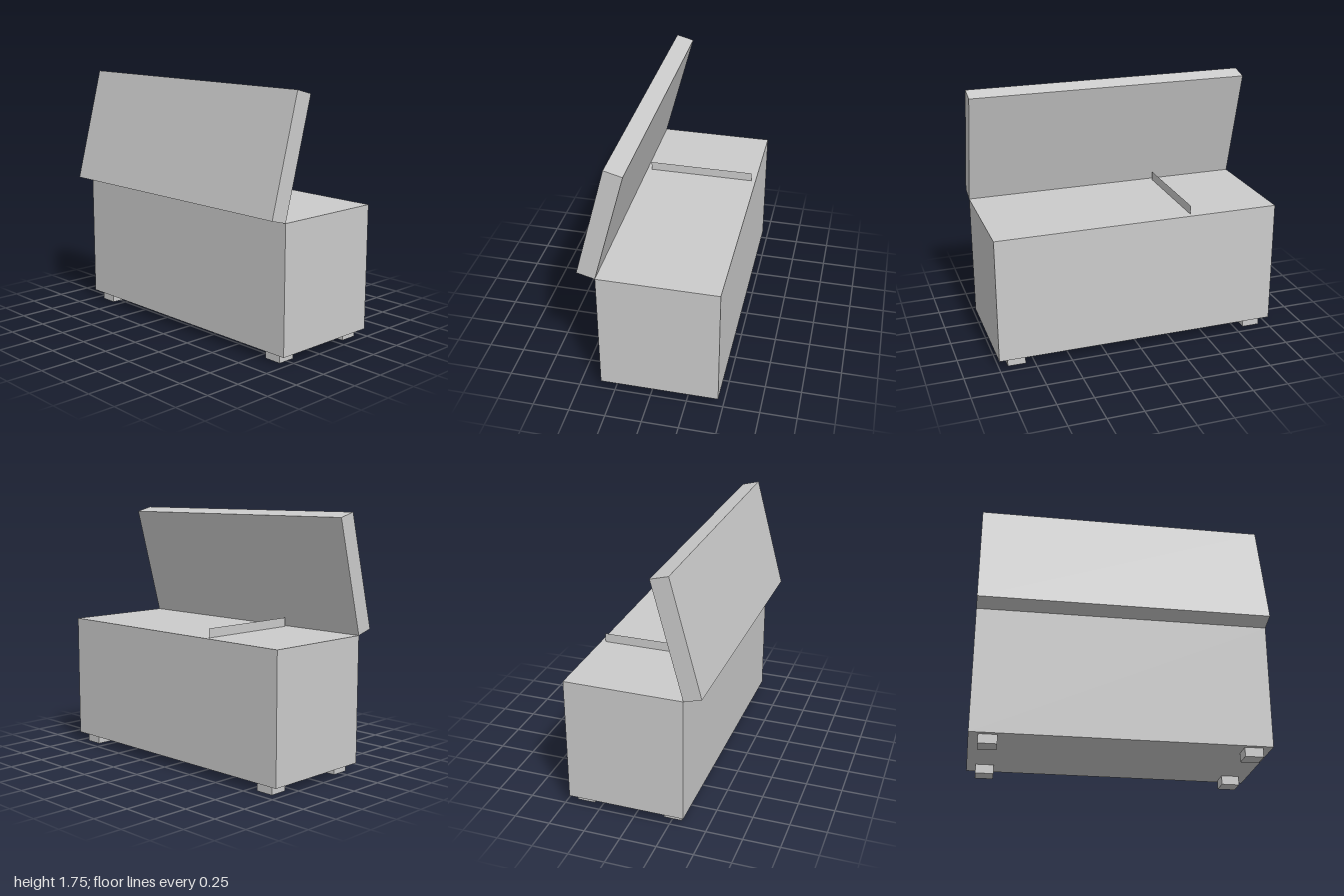
import * as THREE from 'three';

export function createModel() {
  const group = new THREE.Group();
  const material = new THREE.MeshStandardMaterial({ color: 0xcccccc, flatShading: true });
  const thin = new THREE.MeshStandardMaterial({ color: 0xcccccc, flatShading: true, side: THREE.DoubleSide });

  const add = (name, geometry, x, y, z, parent = group, mat = material) => {
    const mesh = new THREE.Mesh(geometry, mat);
    mesh.name = name;
    mesh.position.set(x, y, z);
    parent.add(mesh);
    return mesh;
  };

  const unit = 0.0625;
  const depth = 13 * unit;
  const height = 14 * unit;
  const top = unit + height;
  const hingeZ = 0.346;
  const bodyZ = hingeZ - depth / 2;

  // Chest body
  add('body', new THREE.BoxGeometry(2, height, depth), 0, unit + height / 2, bodyZ);

  // Four feet, inset from the corners
  for (const sx of [-1, 1]) {
    for (const sz of [-1, 1]) {
      add('foot', new THREE.BoxGeometry(2 * unit, unit, 2 * unit),
        sx * 14 * unit, unit / 2, bodyZ + sz * (depth / 2 - 1.5 * unit));
    }
  }

  // Thin divider standing up out of the chest
  const divider = add('divider', new THREE.PlaneGeometry(12 * unit, unit),
    -0.375, top + unit / 2, bodyZ, group, thin);
  divider.rotation.y = -Math.PI / 2;

  // Open lid, swung about the front top edge and leaning back 15 degrees
  const lid = new THREE.Group();
  lid.name = 'lidHinge';
  lid.position.set(0, top, hingeZ);
  lid.rotation.x = -Math.PI / 12;
  group.add(lid);
  add('lid', new THREE.BoxGeometry(2, depth, 2 * unit), 0, depth / 2, unit, lid);

  return group;
}
